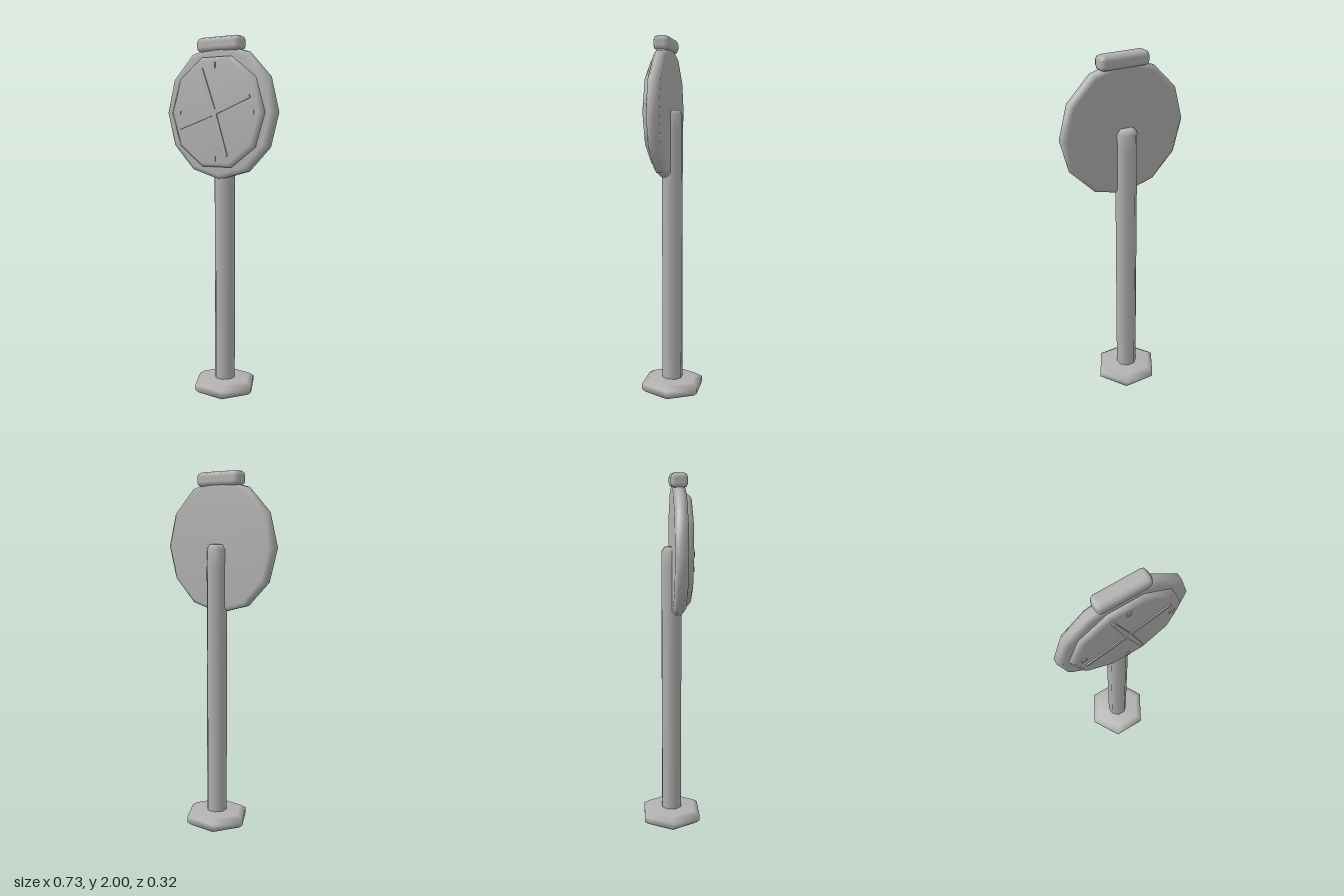
import * as THREE from 'three';
import { RoundedBoxGeometry } from 'three/addons/geometries/RoundedBoxGeometry.js';

const grey = new THREE.MeshStandardMaterial({ color: 0xb2b2b2 });
grey.name = 'plain grey';

export function createModel() {
  const group = new THREE.Group();
  group.name = 'postSign';

  const add = (name, geometry, x = 0, y = 0, z = 0) => {
    const mesh = new THREE.Mesh(geometry, grey);
    mesh.name = name;
    mesh.position.set(x, y, z);
    group.add(mesh);
    return mesh;
  };

  // Bevelled many-sided prism from a [radius, height] profile, bottom to top
  const prism = (profile, sides, start) => new THREE.LatheGeometry(
    profile.map(([r, h]) => new THREE.Vector2(r, h)), sides, start);

  // Hexagonal foot and octagonal post
  add('base', prism([[0, 0], [0.165, 0], [0.185, 0.018], [0.185, 0.05], [0.15, 0.073], [0, 0.077]], 6, Math.PI / 2));
  add('post', prism([[0.059, 0.05], [0.059, 1.5], [0.059, 1.585], [0.04, 1.61], [0, 1.61]], 8, Math.PI / 8));

  // Twelve-sided case and ten-sided dial, turned to face the front
  const centreY = 1.595;
  add('case', prism([[0, 0], [0.342, 0], [0.366, 0.02], [0.366, 0.052], [0.338, 0.07], [0, 0.07]], 12, 0)
    .rotateX(Math.PI / 2), 0, centreY, 0);
  add('dial', prism([[0.311, 0.06], [0.311, 0.08], [0.288, 0.1], [0, 0.101]], 10, Math.PI / 2)
    .rotateX(Math.PI / 2), 0, centreY, 0);

  // Two crossed hands, tapering towards their tips
  const outline = new THREE.Shape([
    [-0.25, -0.009], [0, -0.015], [0.25, -0.009], [0.25, 0.009], [0, 0.015], [-0.25, 0.009],
  ].map(([x, y]) => new THREE.Vector2(x, y)));
  for (const [i, angle] of [0.34, 0.34 + Math.PI / 2].entries()) {
    const hand = add(`hand${i + 1}`, new THREE.ExtrudeGeometry(outline, { depth: 0.009, bevelEnabled: false }), 0, centreY, 0.097);
    hand.rotation.z = angle;
  }

  // Four small marks around the dial
  for (let i = 0; i < 4; i++) {
    const a = i * Math.PI / 2;
    const mark = add(`mark${i + 1}`, new THREE.BoxGeometry(0.03, 0.02, 0.009),
      Math.cos(a) * 0.246, centreY + Math.sin(a) * 0.25, 0.1015);
    mark.rotation.z = a;
  }

  // Chamfered cap on a short neck
  add('neck', new RoundedBoxGeometry(0.22, 0.07, 0.055, 1, 0.012), 0, 1.91, 0.035);
  add('cap', new RoundedBoxGeometry(0.288, 0.08, 0.09, 1, 0.027), 0, 1.96, 0.035);

  return group;
}
